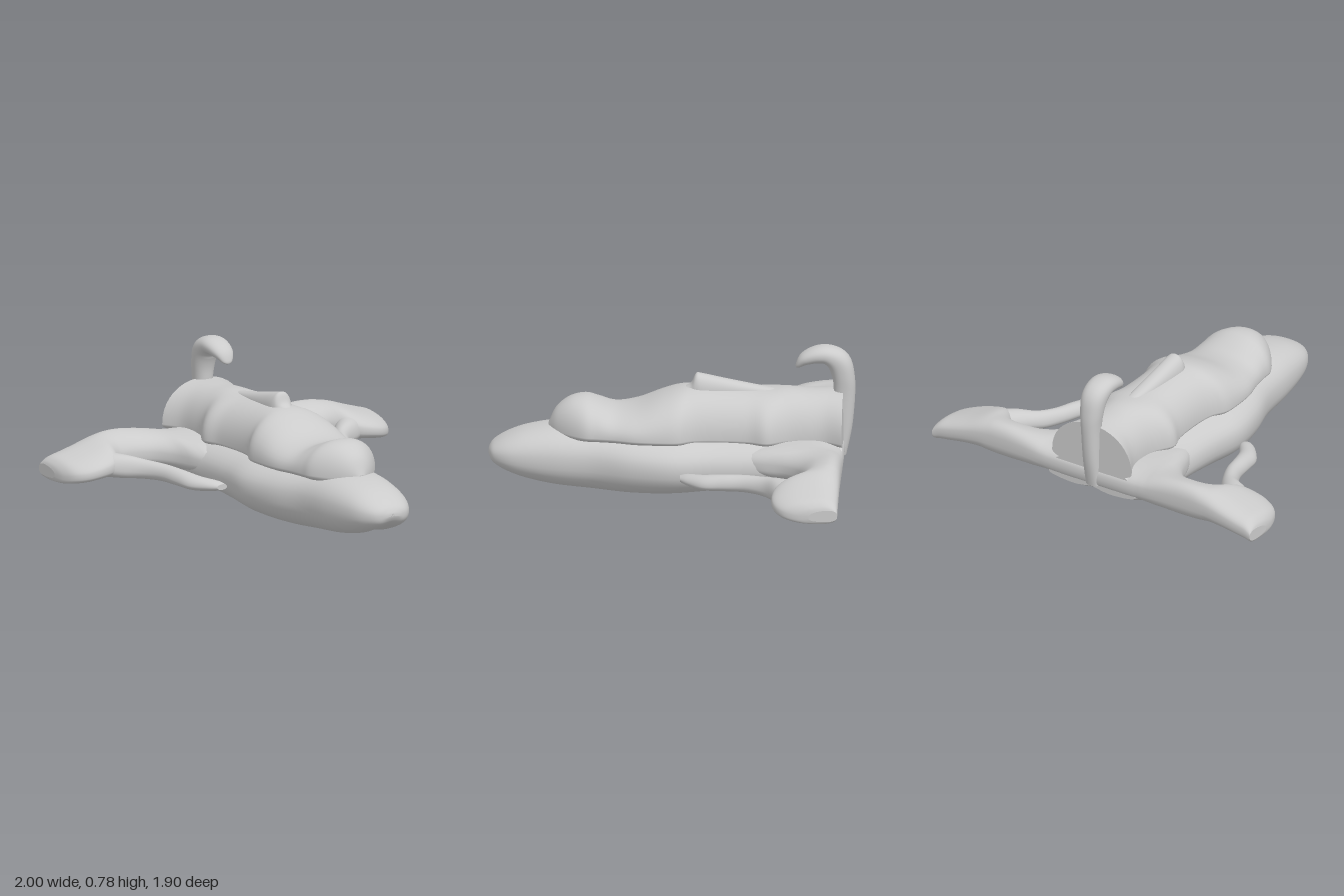
import * as THREE from 'three';

const material = new THREE.MeshStandardMaterial({ color: 0xcccccc });
const N = 40; // points around each cross-section

// Catmull-Rom refinement of rows of section parameters
function refine(rows, steps = 5) {
  const at = (i) => rows[Math.min(rows.length - 1, Math.max(0, i))];
  const out = [];
  for (let i = 0; i < rows.length - 1; i++) {
    for (let s = 0; s < steps; s++) {
      const t = s / steps;
      out.push(rows[i].map((b, k) => {
        const a = at(i - 1)[k], c = at(i + 1)[k], d = at(i + 2)[k];
        return b + 0.5 * t * (c - a + t * (2 * a - 5 * b + 4 * c - d + t * (3 * (b - c) + d - a)));
      }));
    }
  }
  out.push(rows[rows.length - 1]);
  return out;
}

// Superellipse point on the unit outline
function outline(j, power) {
  const a = (j / N) * Math.PI * 2, c = Math.cos(a), s = Math.sin(a);
  return [Math.sign(c) * Math.abs(c) ** (2 / power), Math.sign(s) * Math.abs(s) ** (2 / power)];
}

// Skin a list of closed rings, with a flat cap on each end
function loft(name, rings) {
  const pos = [], idx = [];
  rings.forEach((r) => r.forEach((p) => pos.push(...p)));
  for (let i = 0; i < rings.length - 1; i++) {
    for (let j = 0; j < N; j++) {
      const k = (j + 1) % N, a = i * N + j, b = i * N + k;
      idx.push(a, b, b + N, a, b + N, a + N);
    }
  }
  [rings[0], rings[rings.length - 1]].forEach((ring, end) => {
    const base = pos.length / 3;
    ring.forEach((p) => pos.push(...p));
    pos.push(...[0, 1, 2].map((k) => ring.reduce((sum, p) => sum + p[k], 0) / N));
    for (let j = 0; j < N; j++) {
      const a = base + j, b = base + ((j + 1) % N);
      if (end) idx.push(a, b, base + N);
      else idx.push(b, a, base + N);
    }
  });
  const geo = new THREE.BufferGeometry();
  geo.setAttribute('position', new THREE.Float32BufferAttribute(pos, 3));
  geo.setIndex(idx);
  geo.computeVertexNormals();
  const mesh = new THREE.Mesh(geo, material);
  mesh.name = name;
  return mesh;
}

// Rings across z from rows of z, centre x, half width, bottom, waist, top
function zRings(rows, power, cleft = 0) {
  return refine(rows).map(([z, cx, w, bottom, waist, top]) =>
    Array.from({ length: N }, (_, j) => {
      const [u, v] = outline(j, power);
      const y = waist + v * (v > 0 ? top - waist : waist - bottom);
      const groove = v < 0 ? cleft * Math.exp(-((u * w / 0.06) ** 2)) * -v : 0;
      return [cx + u * w, y + groove, z];
    }));
}

export function createModel() {
  const model = new THREE.Group();

  // Lower hull with a shallow keel groove
  const hull = [
    [-0.89, 0.27, 0.17, 0.2, 0.34], [-0.8, 0.31, 0.125, 0.19, 0.35], [-0.6, 0.32, 0.08, 0.19, 0.35],
    [-0.4, 0.31, 0.05, 0.19, 0.35], [-0.2, 0.315, 0.025, 0.19, 0.35], [0, 0.335, 0.008, 0.19, 0.35],
    [0.2, 0.30, 0.002, 0.19, 0.35], [0.4, 0.235, 0.012, 0.19, 0.35], [0.6, 0.21, 0.03, 0.19, 0.345],
    [0.75, 0.185, 0.06, 0.19, 0.32], [0.85, 0.155, 0.095, 0.19, 0.285], [0.92, 0.105, 0.13, 0.19, 0.245],
    [0.945, 0.05, 0.16, 0.19, 0.215], [0.95, 0.005, 0.185, 0.19, 0.195],
  ].map(([z, ...r]) => [z, 0, ...r]);
  model.add(loft('hull', zRings(hull, 2.3, 0.02)));

  // Canopy hump running back into the upper body
  const upper = [
    [-0.89, 0.25, 0.55], [-0.8, 0.2, 0.55], [-0.7, 0.19, 0.55], [-0.6, 0.2, 0.555], [-0.5, 0.25, 0.55],
    [-0.4, 0.22, 0.55], [-0.25, 0.21, 0.555], [-0.12, 0.22, 0.56], [-0.04, 0.26, 0.55], [0.05, 0.265, 0.52],
    [0.18, 0.255, 0.465], [0.29, 0.225, 0.45], [0.38, 0.21, 0.48], [0.45, 0.2, 0.5], [0.53, 0.15, 0.485],
    [0.6, 0.085, 0.43], [0.64, 0.02, 0.345],
  ].map(([z, w, top]) => [z, 0, w, 0.28, 0.33, top]);
  model.add(loft('canopyAndUpperBody', zRings(upper, 2.15)));

  // Raised spine behind the canopy
  const spine = [
    [-0.55, 0.03, 0.548], [-0.4, 0.045, 0.575], [-0.25, 0.055, 0.605], [-0.16, 0.06, 0.624],
    [-0.125, 0.055, 0.625], [-0.1, 0.045, 0.575], [-0.06, 0.03, 0.55],
  ].map(([z, w, top]) => [z, 0, w, 0.5, 0.53, top]);
  model.add(loft('spine', zRings(spine, 2.3)));

  // Wing span: rows of x, front z, bottom, top; mirrored to both sides
  const half = [
    [0.2, -0.33, 0.15, 0.34], [0.3, -0.43, 0.16, 0.34], [0.36, -0.58, 0.165, 0.345], [0.44, -0.67, 0.17, 0.355],
    [0.54, -0.7, 0.17, 0.365], [0.62, -0.69, 0.17, 0.365], [0.67, -0.65, 0.17, 0.36], [0.73, -0.57, 0.17, 0.35],
    [0.82, -0.55, 0.165, 0.32], [0.9, -0.565, 0.155, 0.295], [0.96, -0.61, 0.15, 0.275], [0.99, -0.68, 0.15, 0.25],
    [1, -0.75, 0.165, 0.23],
  ];
  const span = [...half.map(([x, ...r]) => [-x, ...r]).reverse(), ...half];
  const wingRings = refine(span, 4).map(([x, front, bottom, top]) =>
    Array.from({ length: N }, (_, j) => {
      // blunt trailing edge, tapering rounded leading edge
      const [u, v] = outline(j, 2.8);
      const back = -0.9, z = (front + back) / 2 + v * (front - back) / 2;
      const taper = 1 - 0.3 * ((v + 1) / 2) ** 2;
      return [x, bottom + (u + 1) / 2 * (top - bottom) * taper, z];
    }));
  model.add(loft('wings', wingRings));

  // Curved struts sweeping forward from the wings
  const strut = [
    [-0.68, 0.76, 0.085, 0.17, 0.22, 0.3], [-0.58, 0.69, 0.09, 0.17, 0.22, 0.29],
    [-0.5, 0.605, 0.055, 0.17, 0.21, 0.27], [-0.4, 0.55, 0.045, 0.17, 0.21, 0.26],
    [-0.28, 0.52, 0.048, 0.165, 0.2, 0.25], [-0.18, 0.49, 0.055, 0.16, 0.19, 0.235],
    [-0.1, 0.435, 0.05, 0.165, 0.19, 0.22], [-0.06, 0.41, 0.03, 0.175, 0.19, 0.205],
  ];
  for (const [side, name] of [[1, 'leftStrut'], [-1, 'rightStrut']]) {
    model.add(loft(name, zRings(strut.map(([z, x, ...r]) => [z, x * side, ...r]), 2)));
  }

  // Hooked tail fin: rows of y, z, half width, half depth along its centre line
  const fin = refine([
    [0.2, -0.88, 0.04, 0.025], [0.35, -0.89, 0.045, 0.045], [0.52, -0.895, 0.05, 0.055],
    [0.62, -0.89, 0.06, 0.058], [0.7, -0.865, 0.068, 0.062], [0.738, -0.81, 0.07, 0.05],
    [0.738, -0.75, 0.068, 0.043], [0.715, -0.69, 0.055, 0.033], [0.68, -0.655, 0.03, 0.015],
    [0.668, -0.648, 0.008, 0.004],
  ]);
  const finRings = fin.map(([y, z, w, d], i) => {
    const p = fin[Math.max(0, i - 1)], q = fin[Math.min(fin.length - 1, i + 1)];
    const len = Math.hypot(q[0] - p[0], q[1] - p[1]);
    const ty = (q[0] - p[0]) / len, tz = (q[1] - p[1]) / len;
    return Array.from({ length: N }, (_, j) => {
      const [u, v] = outline(j, 2.2);
      return [u * w, y + v * d * tz, z - v * d * ty];
    });
  });
  model.add(loft('tailFin', finRings));

  return model;
}
